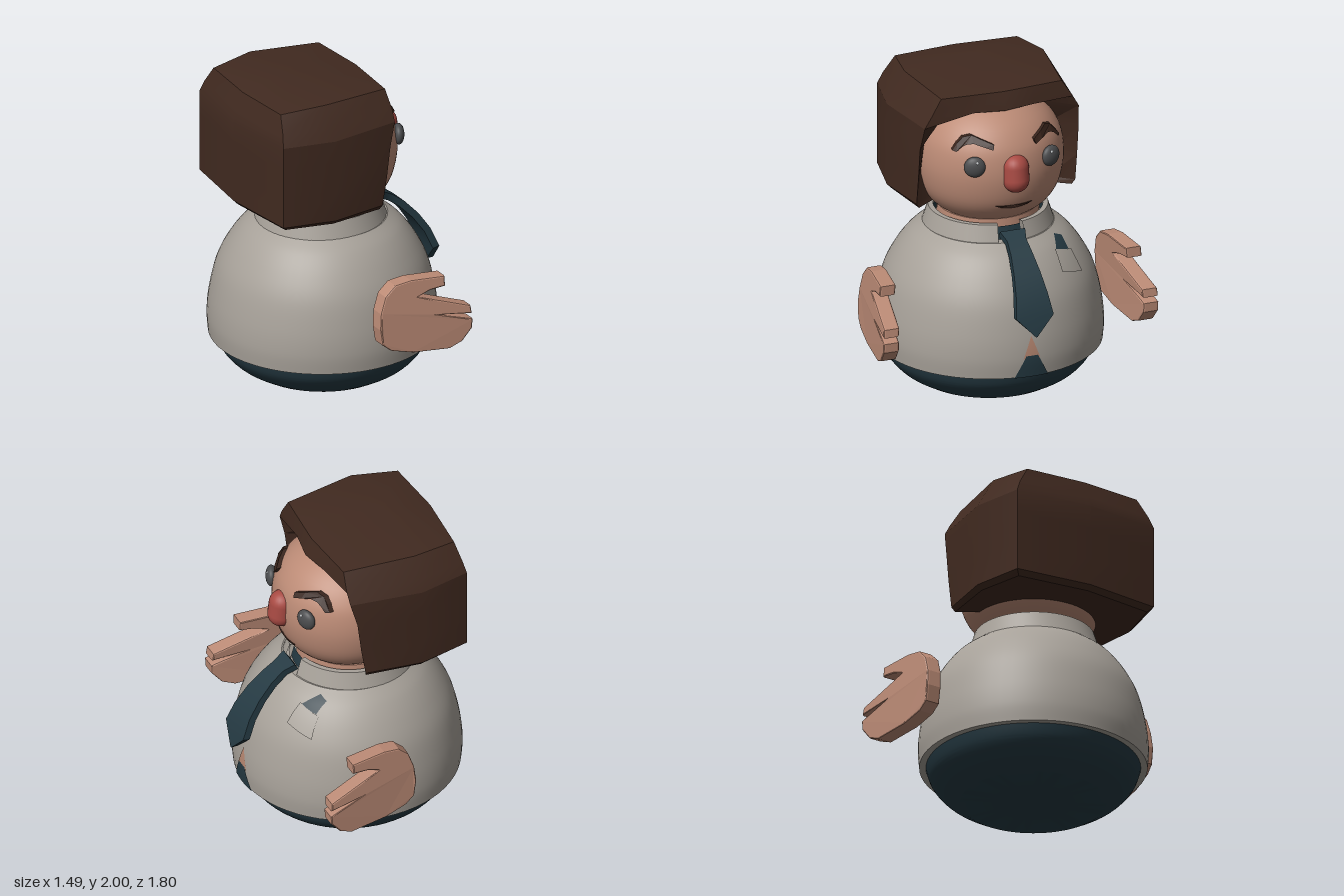
import * as THREE from 'three';
import { toCreasedNormals } from 'three/addons/utils/BufferGeometryUtils.js';

const mat = (name, color, side = THREE.FrontSide) => {
  const m = new THREE.MeshStandardMaterial({ color, side });
  m.name = name;
  return m;
};
const V2 = (p) => new THREE.Vector2(p[0], p[1]);
const CX = -0.04; // axis of body and head

// Smooth [radius, y] profile through a few points
const smooth = (pts) => new THREE.SplineCurve(pts.map(V2)).getPoints(40);

// Radius of a profile at height y
function radiusAt(profile, y) {
  for (let i = 1; i < profile.length; i++) {
    const a = profile[i - 1], b = profile[i];
    if (y >= a.y && y <= b.y && b.y > a.y) return a.x + (b.x - a.x) * (y - a.y) / (b.y - a.y);
  }
  return 0;
}
const frontX = (profile, y, z) => CX + Math.sqrt(Math.max(0, radiusAt(profile, y) ** 2 - z * z));

// Skin closed rings stacked from bottom to top, with fan caps
function loft(rings, bottom, top, crease) {
  const n = rings[0].length, pos = [...rings.flat(2), ...bottom, ...top], index = [];
  const b = rings.length * n, t = b + 1;
  for (let j = 0; j < n; j++) {
    const k = (j + 1) % n, last = (rings.length - 1) * n;
    for (let i = 0; i < rings.length - 1; i++) {
      const o = i * n, u = o + n;
      index.push(o + j, o + k, u + k, o + j, u + k, u + j);
    }
    index.push(k, j, b, last + j, last + k, t);
  }
  const g = new THREE.BufferGeometry();
  g.setAttribute('position', new THREE.Float32BufferAttribute(pos, 3));
  g.setIndex(index);
  return toCreasedNormals(g, crease);
}

// Move every vertex by a rule
function warp(g, rule) {
  const p = g.attributes.position;
  for (let i = 0; i < p.count; i++) p.setXYZ(i, ...rule(p.getX(i), p.getY(i), p.getZ(i)));
  g.computeVertexNormals();
  return g;
}

// Thin four-cornered patch laid on a turned surface; corners are [z, y]
function patch(profile, [a, b, c, d], lift) {
  return warp(new THREE.PlaneGeometry(1, 1, 8, 10), (u, v) => {
    const s = u + 0.5, t = v + 0.5;
    const mix = (i) => (a[i] * (1 - s) + b[i] * s) * (1 - t) + (d[i] * (1 - s) + c[i] * s) * t;
    const z = mix(0), y = mix(1);
    return [frontX(profile, y, z) + lift, y, z];
  });
}

// Raised outline wrapped on a turned surface; points are [-z, y]
function relief(profile, pts, sink, rise) {
  const g = new THREE.ExtrudeGeometry(new THREE.Shape(pts.map(V2)), { depth: sink + rise, bevelEnabled: false });
  return warp(g, (u, v, d) => [frontX(profile, v, u) + d - sink, v, -u]);
}

export function createModel() {
  const root = new THREE.Group();
  const hair = mat('brown hair', 0x412a20);
  const brow = mat('dark brown', 0x38231b);
  const skin = mat('skin', 0xbc8b76);
  const shirtMat = mat('grey shirt', 0xa7a199, THREE.DoubleSide);
  const cloth = mat('dark teal cloth', 0x253a43, THREE.DoubleSide);
  const belly = mat('belly skin', 0xb88872, THREE.DoubleSide);
  const red = mat('red nose', 0xa84a43);
  const eyeMat = mat('dark grey eye', 0x4b4c4e);
  const glintMat = mat('eye glint', 0xc4c8ca);
  const add = (name, g, m, x = 0, y = 0, z = 0) => {
    const mesh = new THREE.Mesh(g, m);
    mesh.name = name;
    mesh.position.set(x, y, z);
    root.add(mesh);
    return mesh;
  };
  const turned = (pts) => toCreasedNormals(new THREE.LatheGeometry(pts, 64), 0.6);

  // Body
  const legs = smooth([[0.445, 0], [0.55, 0.065], [0.625, 0.15], [0.66, 0.25]]);
  add('trousers', turned([V2([0, 0]), ...legs]), cloth, CX);
  const shirt = smooth([[0.695, 0.23], [0.703, 0.35], [0.688, 0.5], [0.645, 0.68], [0.575, 0.82],
    [0.49, 0.93], [0.4, 1.0]]);
  add('shirt', turned([V2([0.63, 0.23]), ...shirt, V2([0, 1.0])]), shirtMat, CX);
  add('bellyGap', patch(shirt, [[0.055, 0.35], [-0.055, 0.35], [0, 0.495], [0, 0.495]], 0.004), belly);
  add('trouserGap', patch(shirt, [[0.11, 0.23], [-0.11, 0.23], [-0.038, 0.37], [0.038, 0.37]], 0.007), cloth);

  // Pocket with handkerchief
  add('handkerchief', patch(shirt, [[-0.265, 0.91], [-0.37, 0.89], [-0.355, 0.955], [-0.3, 0.978]], 0.008), cloth);
  add('pocket', patch(shirt, [[-0.27, 0.81], [-0.435, 0.76], [-0.39, 0.885], [-0.26, 0.925]], 0.016), shirtMat);

  // Collar, neckband and neck
  const gap = 0.22;
  const collar = [[0.405, 0.985], [0.367, 1.105], [0.335, 1.105], [0.365, 0.985], [0.405, 0.985]].map(V2);
  add('collar', toCreasedNormals(new THREE.LatheGeometry(collar, 48, Math.PI / 2 + gap, 2 * (Math.PI - gap)), 0.6),
    shirtMat, -0.05);
  add('neckband', new THREE.CylinderGeometry(0.335, 0.35, 0.08, 48, 1, true), cloth, -0.05, 1.04);
  add('neck', new THREE.CylinderGeometry(0.31, 0.32, 0.14, 48), skin, -0.05, 1.05);

  // Tie curving out over the chest: [outer x, y, half width]
  const tie = [[0.742, 0.52, 0.005], [0.717, 0.645, 0.122], [0.665, 0.77, 0.103], [0.59, 0.88, 0.086],
    [0.5, 0.975, 0.07], [0.42, 1.035, 0.062], [0.35, 1.075, 0.082]];
  const tieRings = tie.map(([x, y, w], i) => {
    const a = i / 6, ix = x - 0.045 * Math.cos(a), iy = y - 0.045 * Math.sin(a);
    return [[ix, iy, -w], [ix, iy, w], [x, y, w], [x, y, -w]];
  });
  add('tie', loft(tieRings, [0.72, 0.52, 0], [0.335, 1.06, 0], 0.5), cloth);

  // Head
  const head = smooth([[0, 1.08], [0.2, 1.085], [0.28, 1.11], [0.37, 1.18], [0.43, 1.28], [0.458, 1.42],
    [0.45, 1.55], [0.415, 1.65], [0.335, 1.75], [0.2, 1.83], [0, 1.86]]);
  add('head', new THREE.LatheGeometry(head, 64), skin, CX);

  // Hair: height, then back, back corner, side, front corner, inner edge, front middle
  const hairRings = [
    [1.19, -0.635, [-0.58, 0.47], [-0.28, 0.54], [0.07, 0.5], [-0.03, 0.36], 0],
    [1.22, -0.665, [-0.61, 0.5], [-0.28, 0.57], [0.08, 0.52], [-0.03, 0.385], 0],
    [1.4, -0.665, [-0.61, 0.5], [-0.28, 0.57], [0.11, 0.52], [-0.03, 0.445], 0],
    [1.6, -0.665, [-0.61, 0.5], [-0.28, 0.57], [0.135, 0.52], [-0.02, 0.425], 0],
    [1.75, -0.665, [-0.61, 0.5], [-0.28, 0.57], [0.175, 0.505], [0.02, 0.32], 0.1],
    [1.82, -0.64, [-0.595, 0.47], [-0.28, 0.53], [0.18, 0.465], [0.205, 0.2], 0.24],
    [1.93, -0.6, [-0.57, 0.4], [-0.28, 0.455], [0.17, 0.395], [0.185, 0.2], 0.2],
  ].map(([y, back, ...rest]) => {
    const front = rest.pop();
    const at = (s) => ([x, z]) => [x, y + (y > 1.9 && x === -0.28 ? 0.02 : 0), s * z];
    return [[back, y, 0], ...rest.map(at(1)), [front, y, 0], ...rest.map(at(-1)).reverse()];
  });
  add('hair', loft(hairRings, [-0.28, 1.19, 0], [-0.28, 2, 0], 0.4), hair);

  // Nose
  const nose = add('nose', new THREE.CapsuleGeometry(0.083, 0.075, 12, 24), red, 0.4, 1.47, 0);
  nose.rotation.z = 0.13;

  // Mouth
  const mouth = [];
  for (let i = -6; i <= 6; i++) mouth.push([i * 0.02, 1.253 + 0.004 * (i / 6) ** 2]);
  for (let i = 5; i >= -5; i--) mouth.push([i * 0.02, 1.233 + 0.02 * (i / 6) ** 2]);
  add('mouth', relief(head, mouth, 0.02, 0.007), brow);

  // Hand outline, leaning outward towards the fingertips
  const handShape = new THREE.Shape([[0.1, 0.825], [0.315, 0.815], [0.315, 0.765], [0.22, 0.755], [0.13, 0.72],
    [0.25, 0.675], [0.475, 0.598], [0.48, 0.56], [0.24, 0.588], [0.45, 0.522], [0.485, 0.51], [0.482, 0.46],
    [0.42, 0.385], [0.34, 0.352], [0.1, 0.368], [-0.04, 0.405], [-0.095, 0.45], [-0.11, 0.55], [-0.1, 0.65],
    [-0.065, 0.75], [0, 0.81]].map(V2));

  for (const s of [1, -1]) {
    const side = s > 0 ? 'Front' : 'Back';
    const handGeo = warp(new THREE.ExtrudeGeometry(handShape, {
      depth: 0.075, bevelThickness: 0.013, bevelSize: 0.008, bevelSegments: 2,
    }), (x, y, z) => [x, y, z + 0.755 + 0.12 * x - 0.1 * Math.max(0, y - 0.55)]);
    add('hand' + side, handGeo, skin).scale.z = s;

    // Eye with glint
    const eye = add('eye' + side, new THREE.SphereGeometry(1, 28, 20), eyeMat, 0.352, 1.53, s * 0.249);
    eye.scale.set(0.036, 0.066, 0.066);
    eye.rotation.y = -s * 0.4;
    add('glint' + side, new THREE.SphereGeometry(0.011, 12, 8), glintMat, 0.378, 1.564, s * 0.242);

    // Brow
    const browPts = [[0.13, 1.665], [0.19, 1.69], [0.24, 1.71], [0.285, 1.695], [0.32, 1.66], [0.35, 1.615],
      [0.335, 1.61], [0.3, 1.645], [0.275, 1.66], [0.24, 1.667], [0.19, 1.652], [0.14, 1.635]];
    add('brow' + side, relief(head, browPts.map(([z, y]) => [-s * z, y]), 0.02, 0.03), brow);
  }
  return root;
}
